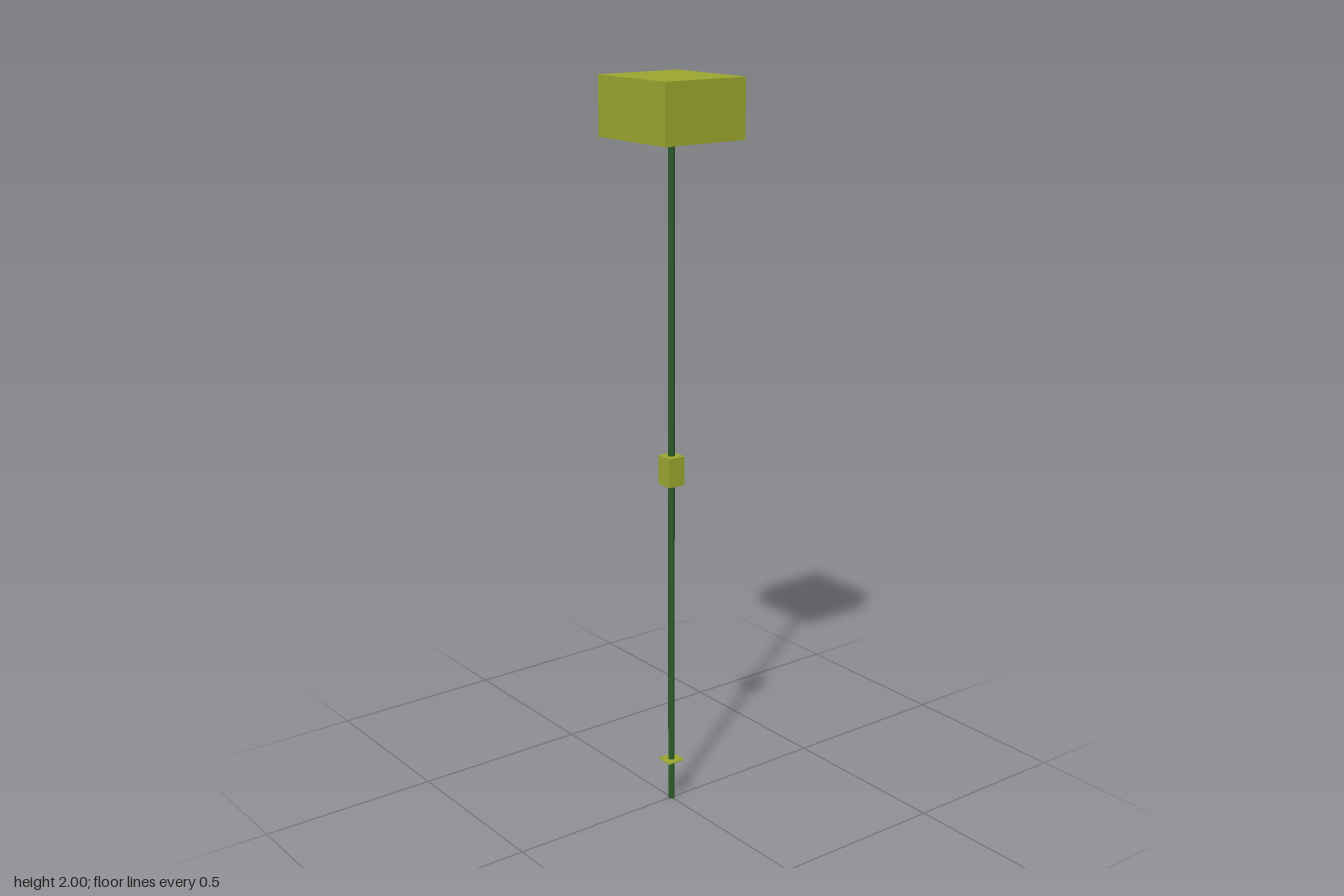
import * as THREE from 'three';

const olive = new THREE.MeshStandardMaterial({ color: 0x9aa52e, flatShading: true });
const green = new THREE.MeshStandardMaterial({ color: 0x2a5a28, flatShading: true });

// Four-sided block whose underside rises to a point by `recess`
function hollowBlock(width, height, depth, recess) {
  const r = Math.SQRT1_2;
  const profile = [[0, recess], [r, 0], [r, height], [0, height]].map(([x, y]) => new THREE.Vector2(x, y));
  return new THREE.LatheGeometry(profile, 4, Math.PI / 4).scale(width, 1, depth);
}

export function createModel() {
  const group = new THREE.Group();
  const add = (name, geometry, material, y) => {
    const mesh = new THREE.Mesh(geometry, material);
    mesh.name = name;
    mesh.position.y = y;
    group.add(mesh);
  };

  // Pole, reaching into the underside of the head
  const poleHeight = 1.9;
  add('pole', new THREE.CylinderGeometry(0.009, 0.009, poleHeight, 8), green, poleHeight / 2);

  // Head block with a shallow pyramid recess below
  add('head', hollowBlock(0.278, 0.155, 0.252, 0.05), olive, 1.845);

  // Grip block halfway up and thin plate near the foot
  add('middleBlock', new THREE.BoxGeometry(0.05, 0.08, 0.05), olive, 0.97);
  add('footPlate', new THREE.BoxGeometry(0.05, 0.003, 0.05), olive, 0.12);

  return group;
}
